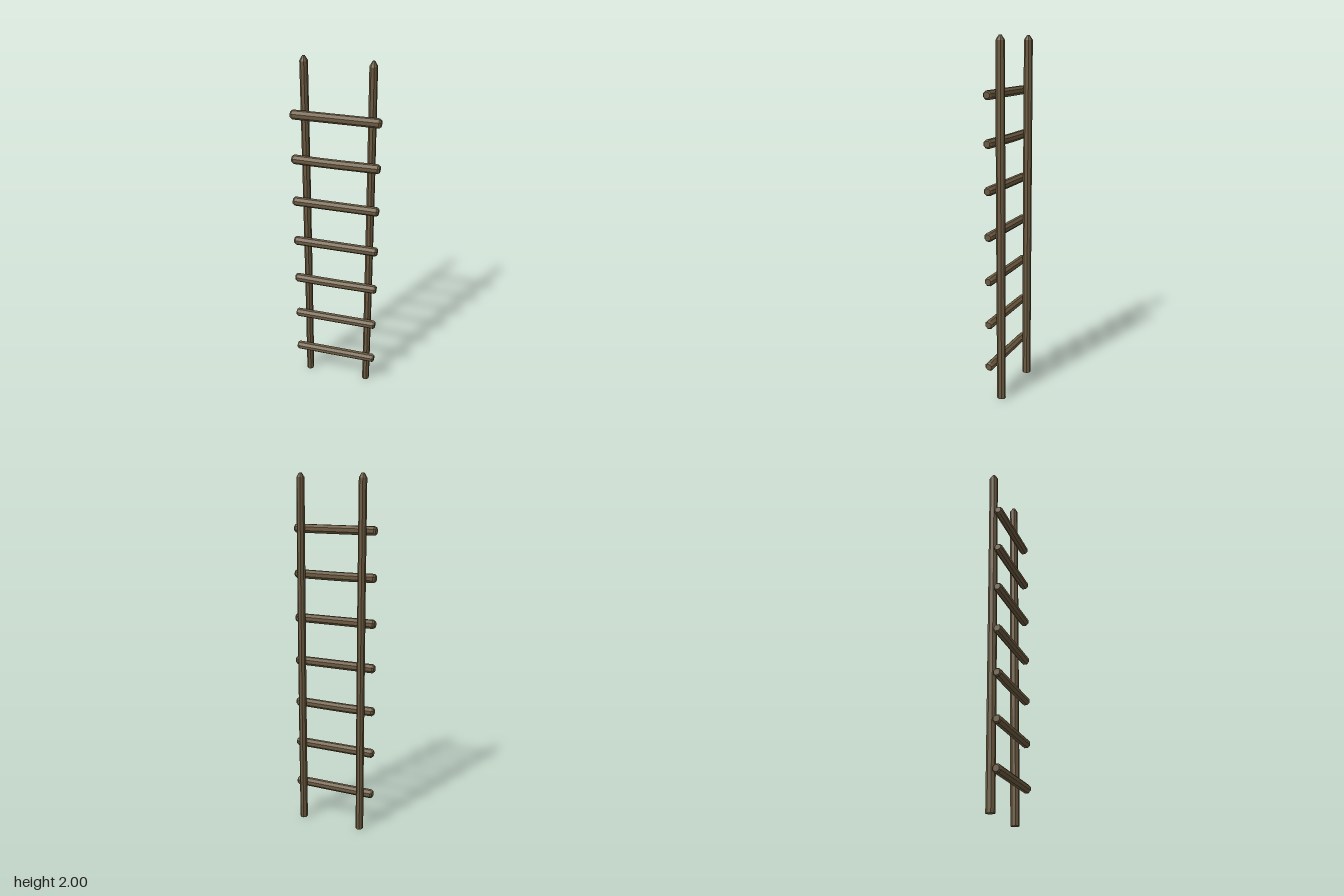
import * as THREE from 'three';

const wood = new THREE.MeshStandardMaterial({ color: 0x6b5a40, flatShading: true });

// Eight-sided log along y, from [radius, height] pairs; bow shifts the middle rings sideways
function log(name, profile, bow) {
  const points = profile.map(([r, y]) => new THREE.Vector2(r, y));
  const geometry = new THREE.LatheGeometry(points, 8, Math.PI / 8);
  const position = geometry.attributes.position;
  const low = profile[0][1], span = profile[profile.length - 1][1] - low;
  for (let i = 0; i < position.count; i++) {
    const t = (position.getY(i) - low) / span;
    if (t > 0.3 && t < 0.7) position.setX(i, position.getX(i) + bow);
  }
  geometry.computeVertexNormals();
  const mesh = new THREE.Mesh(geometry, wood);
  mesh.name = name;
  return mesh;
}

export function createModel() {
  const ladder = new THREE.Group();
  ladder.name = 'ladder';

  // Upright poles with blunt tapered tops
  const poleProfile = [
    [0, 0], [0.025, 0], [0.0255, 0.6], [0.0255, 1.0], [0.0255, 1.35],
    [0.025, 1.975], [0.008, 2], [0, 2]
  ];
  for (const side of [-1, 1]) {
    const pole = log(side > 0 ? 'leftPole' : 'rightPole', poleProfile, 0.002);
    pole.position.set(side * 0.18, 0, -0.026);
    pole.scale.x = 0.85;
    ladder.add(pole);
  }

  // Rungs with chamfered ends, fixed across the front of the poles
  const rungProfile = [
    [0, -0.24], [0.018, -0.24], [0.0255, -0.23], [0.0255, -0.02],
    [0.0255, 0.08], [0.0255, 0.23], [0.018, 0.24], [0, 0.24]
  ];
  for (let i = 0; i < 7; i++) {
    const rung = log('rung' + (i + 1), rungProfile, i === 2 || i === 5 ? -0.002 : 0);
    rung.rotation.z = Math.PI / 2;
    rung.position.set(0, 0.203 + i * 0.25, 0.024);
    ladder.add(rung);
  }
  return ladder;
}
